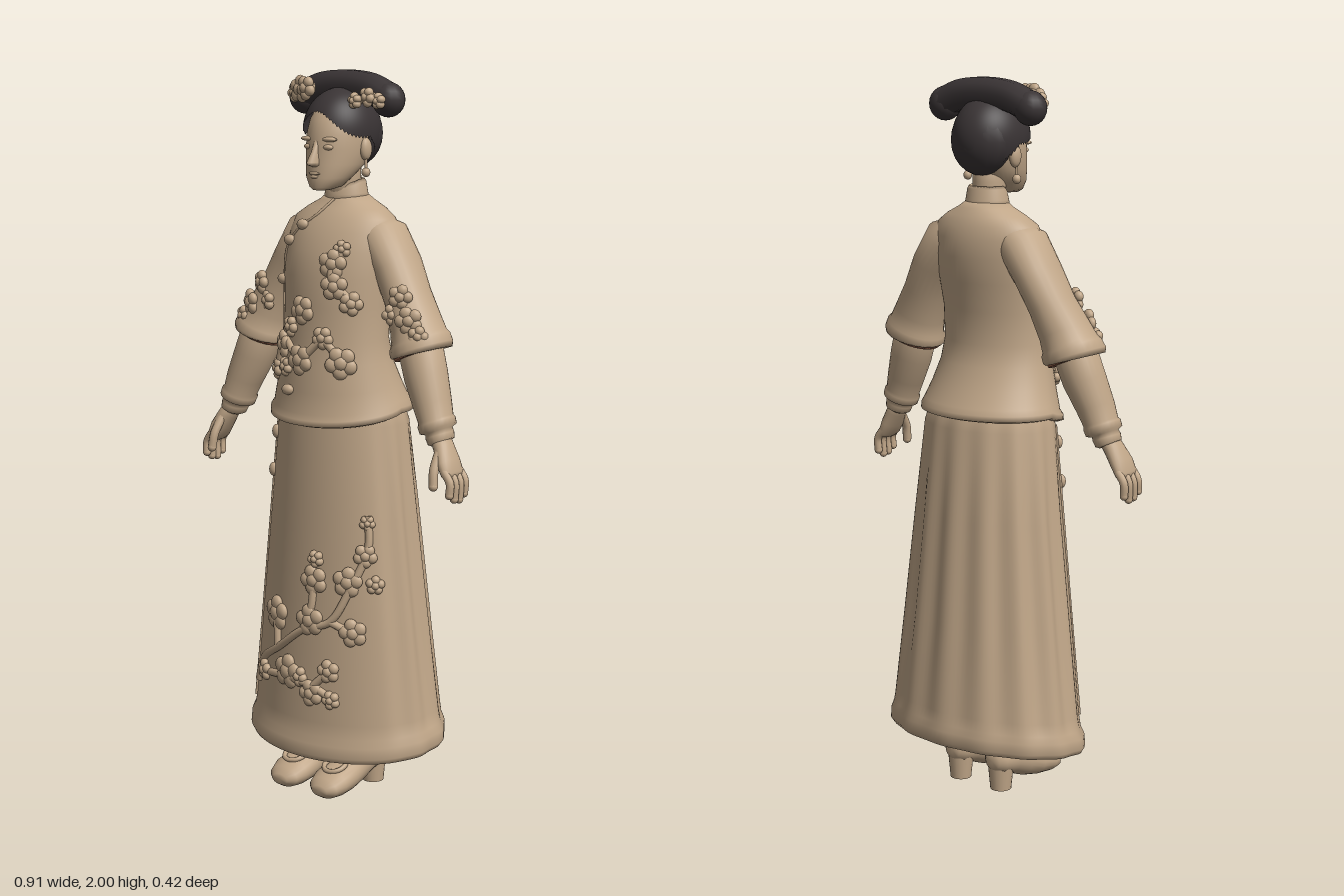
import * as THREE from 'three';

const mat = (name, color) => Object.assign(new THREE.MeshStandardMaterial({ color }), { name });
const V = (x, y, z) => new THREE.Vector3(x, y, z);
const clamp = THREE.MathUtils.clamp;

export function createModel() {
  const model = new THREE.Group();
  model.name = 'robedLady';
  const tan = mat('tanCloth', 0xc0a688);
  const black = mat('blackHair', 0x3a3435);
  const brown = mat('brownStocking', 0x8a5a45);
  tan.side = black.side = THREE.DoubleSide;

  const add = (name, geo, m = tan, parent = model) => {
    const mesh = new THREE.Mesh(geo, m);
    mesh.name = name;
    parent.add(mesh);
    return mesh;
  };
  const ballGeo = new THREE.SphereGeometry(1, 16, 12);
  const ball = (name, p, s, m = tan, parent = model) => {
    const b = add(name, ballGeo, m, parent);
    b.position.set(...p);
    b.scale.set(...s);
  };
  const tube = (name, pts, r, m = tan) =>
    add(name, new THREE.TubeGeometry(new THREE.CatmullRomCurve3(pts), pts.length * 8, r, 10), m);

  // Closed skin over equal rings, with a fan at both ends
  function skin(rings) {
    const n = rings[0].length, last = rings.length - 1, pos = [], idx = [];
    rings.flat().forEach(p => pos.push(p.x, p.y, p.z));
    for (const r of [rings[0], rings[last]]) {
      const c = r.reduce((a, p) => a.add(p), V(0, 0, 0)).divideScalar(n);
      pos.push(c.x, c.y, c.z);
    }
    for (let j = 0; j < n; j++) {
      const k = (j + 1) % n, c = (last + 1) * n;
      for (let i = 0; i < last; i++) {
        const a = i * n + j, b = i * n + k;
        idx.push(a, b, b + n, a, b + n, a + n);
      }
      idx.push(k, j, c, last * n + j, last * n + k, c + 1);
    }
    const g = new THREE.BufferGeometry();
    g.setAttribute('position', new THREE.Float32BufferAttribute(pos, 3));
    g.setIndex(idx);
    g.computeVertexNormals();
    return g;
  }

  // Upright loft: sections are [y, half width, front z, back z]
  const loft = (secs, n = 40, warp = () => {}) => skin(secs.map(([y, a, f, b]) =>
    Array.from({ length: n }, (_, j) => {
      const t = j / n * Math.PI * 2;
      const p = V(a * Math.sin(t), y, (f + b) / 2 + (f - b) / 2 * Math.cos(t));
      warp(p, t);
      return p;
    })));

  // Limb loft: points are [x, y, z, radius in the xy plane, radius along z]
  const limb = (pts, n = 24) => skin(pts.map(([x, y, z, ru, rz], i) => {
    const a = pts[Math.max(i - 1, 0)], b = pts[Math.min(i + 1, pts.length - 1)];
    const d = V(b[0] - a[0], b[1] - a[1], 0).normalize();
    return Array.from({ length: n }, (_, j) => {
      const t = j / n * Math.PI * 2;
      return V(x - d.y * ru * Math.cos(t), y + d.x * ru * Math.cos(t), z + rz * Math.sin(t));
    });
  }));

  // Front surface of a loft at x, y
  const onFront = secs => (x, y, offset = 0) => {
    let i = 0;
    while (i < secs.length - 2 && secs[i + 1][0] < y) i++;
    const k = clamp((y - secs[i][0]) / (secs[i + 1][0] - secs[i][0]), 0, 1);
    const [a, f, b] = [1, 2, 3].map(c => secs[i][c] + (secs[i + 1][c] - secs[i][c]) * k);
    return V(x, y, (f + b) / 2 + (f - b) / 2 * Math.sqrt(Math.max(0, 1 - (x / a) ** 2)) + offset);
  };

  // Skirt with back pleats, a padded hem and a shallow closed underside
  const skirtOut = [
    [.185, .315, .2, -.218], [.205, .305, .191, -.212], [.24, .299, .188, -.21], [.5, .268, .177, -.19],
    [.8, .232, .164, -.166], [1.05, .202, .153, -.142], [1.14, .18, .14, -.11]];
  add('skirt', loft([
    [.178, .2, .12, -.13], [.165, .285, .172, -.185], [.148, .299, .187, -.2], [.14, .307, .197, -.208],
    [.155, .317, .203, -.219], ...skirtOut], 128, (p, t) => {
    const away = Math.min(t, Math.PI * 2 - t);
    const fold = clamp((away - .9) / .5, 0, 1) * .06 * (.5 - .5 * Math.cos(14 * t));
    const fade = clamp((p.y - .18) / .1, .3, 1) * clamp((1.12 - p.y) / .3, 0, 1);
    p.x *= 1 - fold * fade;
    p.z *= 1 - fold * fade;
    p.y -= (p.z > 0 ? .14 : .09) * p.z * clamp((.5 - p.y) / .3, 0, 1);
  }));

  // Jacket with flared, lipped hem that dips at the front
  const jacketOut = [
    [1.1, .213, .187, -.155], [1.115, .204, .177, -.146], [1.16, .188, .172, -.122], [1.22, .17, .164, -.095],
    [1.28, .161, .155, -.08], [1.37, .161, .152, -.084], [1.45, .167, .15, -.1], [1.52, .17, .136, -.11],
    [1.57, .168, .114, -.108], [1.605, .158, .094, -.1], [1.63, .122, .072, -.089], [1.65, .082, .054, -.075],
    [1.665, .06, .045, -.062]];
  add('jacket', loft([[1.12, .18, .14, -.12], [1.08, .2, .17, -.143], [1.085, .214, .188, -.157], ...jacketOut],
    64, (p, t) => { p.y -= .036 * Math.max(Math.cos(t), 0) ** .8 * clamp((1.24 - p.y) / .12, 0, 1); }));

  // Collar, neck and front fastening
  add('neck', loft([[1.62, .045, .04, -.045], [1.72, .044, .055, -.045], [1.78, .045, .055, -.045]], 24));
  add('collar', loft([[1.64, .068, .052, -.067], [1.67, .062, .05, -.06], [1.7, .057, .045, -.055],
    [1.708, .053, .041, -.05], [1.69, .046, .035, -.044]], 40,
    p => { p.y -= .4 * Math.max(p.z, 0) * clamp((p.y - 1.66) / .04, 0, 1); }));
  const onJacket = onFront(jacketOut), onSkirt = onFront(skirtOut);
  tube('frontPiping', [[.005, 1.655], [-.03, 1.61], [-.08, 1.575], [-.125, 1.52], [-.145, 1.42], [-.145, 1.3],
    [-.155, 1.2]].map(p => onJacket(...p)), .004);
  tube('skirtSeam', [[-.17, 1.05], [-.195, .8], [-.22, .5], [-.245, .22]].map(p => onSkirt(...p)), .004);
  [[-.065, 1.585], [-.11, 1.54], [-.143, 1.43], [-.06, 1.14]].forEach(p =>
    ball('jacketButton', onJacket(...p, .005).toArray(), [.019, .015, .013]));
  [[-.168, 1.0], [-.18, .89]].forEach(p => ball('skirtButton', onSkirt(...p, .004).toArray(), [.015, .02, .012]));

  // Raised blossom: five petals round a centre, turned by yaw
  function blossom(name, p, r, yaw = 0) {
    const g = new THREE.Group();
    g.name = name;
    for (let i = 0; i < 5; i++) {
      const t = i * Math.PI * .4 + p.x * 20;
      ball('petal', [Math.cos(t) * r * .62, Math.sin(t) * r * .62, 0], [r * .52, r * .52, .013], tan, g);
    }
    ball('blossomCentre', [0, 0, .004], [r * .5, r * .5, .014], tan, g);
    g.position.copy(p);
    g.rotation.y = yaw;
    model.add(g);
  }
  const embroider = (surface, name, list) => list.forEach(([x, y, r]) => {
    const slope = (surface(x + .01, y).z - surface(x - .01, y).z) / .02;
    blossom(name, surface(x, y, .004), r, Math.atan(-slope));
  });
  embroider(onSkirt, 'skirtBlossom', [
    [.035, .62, .038], [.135, .625, .038], [-.11, .5, .044], [.025, .505, .04], [.155, .485, .036], [-.055, .345, .044],
    [.035, .3, .034], [.09, .37, .03], [.175, .7, .03], [.2, .62, .024], [.175, .79, .02], [.1, .29, .024],
    [-.17, .32, .028], [.04, .68, .022], [-.01, .34, .026]]);
  embroider(onJacket, 'jacketBlossom', [
    [-.11, 1.255, .036], [-.02, 1.36, .036], [.07, 1.49, .036], [.08, 1.43, .034], [.12, 1.385, .03], [.105, 1.225, .04],
    [-.02, 1.225, .038], [-.14, 1.185, .028], [.05, 1.29, .028], [-.07, 1.31, .026], [.09, 1.53, .022], [-.08, 1.2, .024]]);
  const branch = (surface, pts) => tube('embroideredBranch', pts.map(p => surface(...p, .004)), .011);
  branch(onSkirt, [[-.21, .28], [-.18, .35], [-.09, .41], [.01, .48], [.09, .51], [.14, .6], [.18, .72], [.175, .81]]);
  branch(onSkirt, [[-.2, .31], [-.055, .33], [.04, .32], [.11, .29]]);
  branch(onSkirt, [[.01, .48], [.03, .55], [.035, .62]]);
  branch(onSkirt, [[-.1, .41], [-.11, .5]]);
  branch(onSkirt, [[.09, .51], [.16, .48]]);
  branch(onSkirt, [[.04, .32], [.09, .37]]);
  branch(onJacket, [[.1, 1.54], [.07, 1.46], [.12, 1.39]]);
  branch(onJacket, [[-.14, 1.18], [-.1, 1.27], [-.02, 1.23], [.05, 1.28], [.11, 1.22]]);

  for (const s of [1, -1]) {
    const side = s > 0 ? 'left' : 'right';
    const arm = pts => limb(pts.map(([x, ...r]) => [x * s, ...r]));

    // Wide outer sleeve with lipped cuff and lining, then the inner sleeve
    add(side + 'Sleeve', arm([[.07, 1.595, -.01, .035, .05], [.13, 1.552, -.008, .066, .08],
      [.18, 1.48, -.008, .06, .078], [.222, 1.4, 0, .061, .072], [.258, 1.33, .01, .071, .075],
      [.272, 1.297, .014, .078, .079], [.276, 1.288, .015, .085, .085], [.284, 1.268, .018, .088, .088],
      [.287, 1.258, .019, .083, .083]]));
    add(side + 'CuffLining', arm([[.284, 1.266, .019, .079, .079], [.288, 1.256, .019, .077, .077]]), brown);
    add(side + 'InnerSleeve', arm([[.27, 1.31, .018, .062, .062], [.31, 1.2, .03, .06, .06], [.34, 1.13, .04, .052, .055],
      [.355, 1.09, .044, .047, .051], [.358, 1.083, .045, .051, .055], [.365, 1.066, .046, .05, .054],
      [.368, 1.06, .047, .036, .04], [.372, 1.05, .048, .038, .042], [.378, 1.034, .049, .035, .04],
      [.38, 1.03, .05, .027, .032]]));
    [[.25, 1.41, .068, .03], [.285, 1.35, .075, .034], [.225, 1.36, .07, .026], [.315, 1.31, .073, .026]]
      .forEach(([x, y, z, r]) => blossom('sleeveBlossom', V(x * s, y, z), r, s * .5));

    // Hand with four fingers and a thumb
    add(side + 'Palm', arm([[.37, 1.055, .05, .024, .03], [.392, 1.02, .056, .025, .034], [.412, .985, .062, .024, .042],
      [.427, .955, .063, .019, .042], [.432, .943, .063, .012, .036]]));
    [0, 1, 2, 3].forEach(i => {
      const z = .031 + i * .021, y = [.9, .887, .89, .903][i];
      tube(side + 'Finger', [V(s * .422, .965, z), V(s * .443, .935, z), V(s * .443, y, z + .002)], .0115);
      ball(side + 'Fingertip', [s * .443, y, z + .002], [.0115, .0115, .0115]);
    });
    tube(side + 'Thumb', [V(s * .395, 1.015, .078), V(s * .4, .965, .108), V(s * .404, .925, .115)], .0125);
    ball(side + 'ThumbTip', [s * .404, .925, .115], [.0125, .0125, .0125]);

    // Ear, earring, brow and eye
    ball(side + 'Ear', [s * .083, 1.79, .012], [.014, .031, .02]);
    ball(side + 'Earring', [s * .086, 1.728, .015], [.012, .013, .012]);
    tube(side + 'EarringDrop', [V(s * .086, 1.765, .015), V(s * .086, 1.73, .015)], .004);
    ball(side + 'Brow', [s * .036, 1.818, .108], [.026, .007, .013]);
    ball(side + 'Eye', [s * .033, 1.797, .11], [.017, .008, .01]);

    // Shoe, block heel and stocking
    const foot = new THREE.Group();
    foot.name = side + 'Foot';
    foot.position.x = s * .074;
    model.add(foot);
    const shoe = [[-.072, .065, .11, .025], [-.055, .05, .132, .042], [0, .035, .132, .047], [.05, .015, .118, .05],
      [.1, .004, .096, .057], [.15, 0, .079, .06], [.18, .002, .06, .05], [.198, .012, .042, .028]];
    add('shoe', skin(shoe.map(([z, lo, hi, w]) => Array.from({ length: 24 }, (_, j) => {
      const t = j / 24 * Math.PI * 2;
      return V(w * Math.cos(t), (lo + hi) / 2 + (hi - lo) / 2 * Math.sin(t), z);
    }))), tan, foot);
    add('heel', new THREE.CylinderGeometry(.037, .03, .075, 20), tan, foot).position.set(0, .0375, -.035);
    const stocking = add('stocking', new THREE.CylinderGeometry(.045, .045, .07, 20), brown, foot);
    stocking.position.set(0, .142, .018);
    stocking.scale.z = 1.15;
    const trim = add('shoeTrim', new THREE.TorusGeometry(.032, .007, 8, 20), tan, foot);
    trim.position.set(0, .086, .13);
    trim.rotation.x = -1.2;
  }

  // Head and face
  add('head', loft([[1.682, .022, .122, .07], [1.69, .04, .129, .03], [1.715, .061, .13, 0], [1.75, .075, .127, -.05],
    [1.79, .082, .123, -.07], [1.83, .083, .121, -.08], [1.87, .078, .108, -.08], [1.91, .058, .08, -.06]], 40));
  add('nose', loft([[1.744, .008, .13, .1], [1.75, .015, .15, .1], [1.757, .015, .154, .1], [1.785, .01, .136, .1],
    [1.815, .009, .122, .1]], 20));
  ball('upperLip', [0, 1.727, .124], [.02, .005, .01]);
  ball('lowerLip', [0, 1.718, .123], [.016, .006, .01]);

  // Swept-back hair: dome parted high in front, lower over the temples and low behind
  const hair = new THREE.SphereGeometry(1, 64, 28);
  const hp = hair.attributes.position, uv = hair.attributes.uv;
  for (let i = 0; i < hp.count; i++) {
    const phi = uv.getX(i) * Math.PI * 2, front = Math.sin(phi);
    const limit = front > 0 ? 1.74 - .62 * front ** 3.5 : 1.74 - .95 * front;
    const t = (1 - uv.getY(i)) * limit;
    hp.setXYZ(i, -.1 * Math.cos(phi) * Math.sin(t), 1.838 + .115 * Math.cos(t), .012 + .115 * front * Math.sin(t));
  }
  hair.computeVertexNormals();
  add('hair', hair, black);
  ball('backHair', [0, 1.83, -.03], [.092, .095, .072], black);

  // Padded bar headdress with drooping ends and blossoms
  tube('headdressBar', [V(-.15, 1.926, -.012), V(-.085, 1.95, -.012), V(0, 1.958, -.012), V(.08, 1.95, -.012),
    V(.142, 1.926, -.012)], .042, black);
  [-.153, .142].forEach(x => ball('headdressEnd', [x, 1.922, -.012], [.047, .047, .043], black));
  [[-.15, 1.935, .035, .024], [-.115, 1.945, .055, .034], [-.08, 1.95, .07, .03], [.085, 1.92, .06, .02],
    [.115, 1.93, .045, .024], [.145, 1.92, .034, .02]].forEach(([x, y, z, r]) => {
    blossom('hairBlossom', V(x, y, z), r, -.2);
    ball('hairBlossomBase', [x, y, z - .012], [r * .7, r * .7, .016]);
  });
  return model;
}
